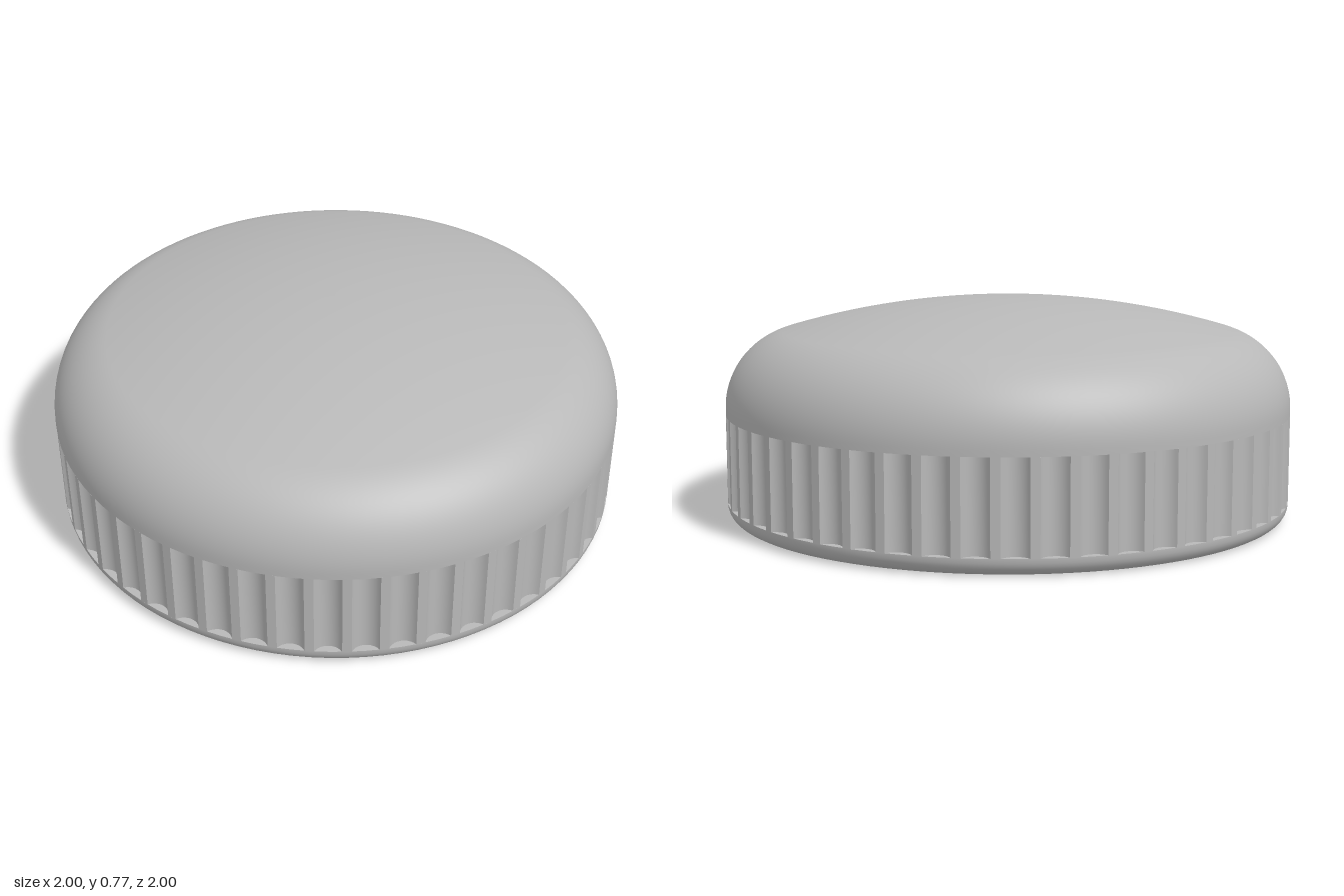
import * as THREE from 'three';
import { toCreasedNormals } from 'three/addons/utils/BufferGeometryUtils.js';

const FLUTES = 52;
const SEGMENTS = FLUTES * 2;
const GRIP_LOW = 0.06, GRIP_HIGH = 0.37;

export function createModel() {
  const group = new THREE.Group();
  const grey = new THREE.MeshStandardMaterial({ color: 0xb8b8b8 });
  grey.name = 'plain grey';

  const add = (name, geometry) => {
    const mesh = new THREE.Mesh(geometry, grey);
    mesh.name = name;
    group.add(mesh);
    return mesh;
  };
  const turn = (name, points, segments = SEGMENTS) =>
    add(name, new THREE.LatheGeometry(points.map(([x, y]) => new THREE.Vector2(x, y)), segments));
  // points along a profile arc, angles in radians
  const arc = (cx, cy, r, from, to, n) => Array.from({ length: n + 1 }, (_, i) => {
    const t = from + (to - from) * i / n;
    return [cx + r * Math.cos(t), cy + r * Math.sin(t)];
  });

  // Shoulder curve running tangentially into the shallow crown
  const shoulderEnd = Math.PI * 74 / 180;
  const shoulder = arc(0.724, 0.39, 0.276, 0, shoulderEnd, 20);
  const [edgeX, edgeY] = shoulder[shoulder.length - 1];
  const top = 0.77, rise = top - edgeY;
  const R = (edgeX * edgeX + rise * rise) / (2 * rise);
  const crown = [];
  for (let i = 1; i <= 16; i++) {
    const x = edgeX * (1 - i / 16);
    crown.push([x, top - R + Math.sqrt(R * R - x * x)]);
  }
  turn('domedTop', [[1, GRIP_HIGH], ...shoulder, ...crown]);

  // Ledges closing the ends of the flutes
  turn('upperLedge', [[0.94, GRIP_HIGH], [1, GRIP_HIGH]]);
  turn('lowerLedge', [[1, GRIP_LOW], [0.94, GRIP_LOW]]);

  // Grip band with concave flutes cut around the rim
  const outline = [];
  for (let f = 0; f < FLUTES; f++) {
    const a = f * Math.PI * 2 / FLUTES;
    for (let i = 0; i <= 10; i++) {
      const t = (i / 5 - 1) * Math.PI / 3;
      const u = 1.025 - 0.052 * Math.cos(t), v = 0.052 * Math.sin(t);
      outline.push(new THREE.Vector2(
        u * Math.cos(a) - v * Math.sin(a), u * Math.sin(a) + v * Math.cos(a)));
    }
  }
  const band = new THREE.Shape(outline);
  band.holes.push(new THREE.Path().absarc(0, 0, 0.9, 0, Math.PI * 2, true));
  const grip = new THREE.ExtrudeGeometry(band, {
    depth: GRIP_HIGH - GRIP_LOW, bevelEnabled: false, curveSegments: 52 });
  grip.rotateX(-Math.PI / 2).translate(0, GRIP_LOW, 0);
  add('flutedGrip', toCreasedNormals(grip, 0.5));

  // Rounded lower rim
  turn('lowerRim', [...arc(0.945, 0.055, 0.055, -Math.PI / 2, 0, 8), [1, GRIP_LOW]]);

  // Flat underside with a centre bore and two small dimples
  const dimples = [[-0.845, -0.105], [-0.845, 0.105]];
  const base = new THREE.Shape().absarc(0, 0, 0.945, 0, Math.PI * 2, false);
  const cut = (x, z, r) =>
    base.holes.push(new THREE.Path().absarc(x, z, r, 0, Math.PI * 2, true));
  cut(0, 0, 0.34);
  dimples.forEach(([x, z]) => cut(x, z, 0.022));
  add('underside', new THREE.ShapeGeometry(base, SEGMENTS).rotateX(Math.PI / 2));

  // Centre bore with a conical end
  turn('boreWall', [[0.34, 0.13], [0.34, 0]]);
  turn('boreEnd', [[0, 0.4], [0.34, 0.13]]);

  dimples.forEach(([x, z]) => {
    turn('dimpleWall', [[0.022, 0.08], [0.022, 0]], 24).position.set(x, 0, z);
    turn('dimpleEnd', [[0, 0.08], [0.022, 0.08]], 24).position.set(x, 0, z);
  });

  return group;
}
